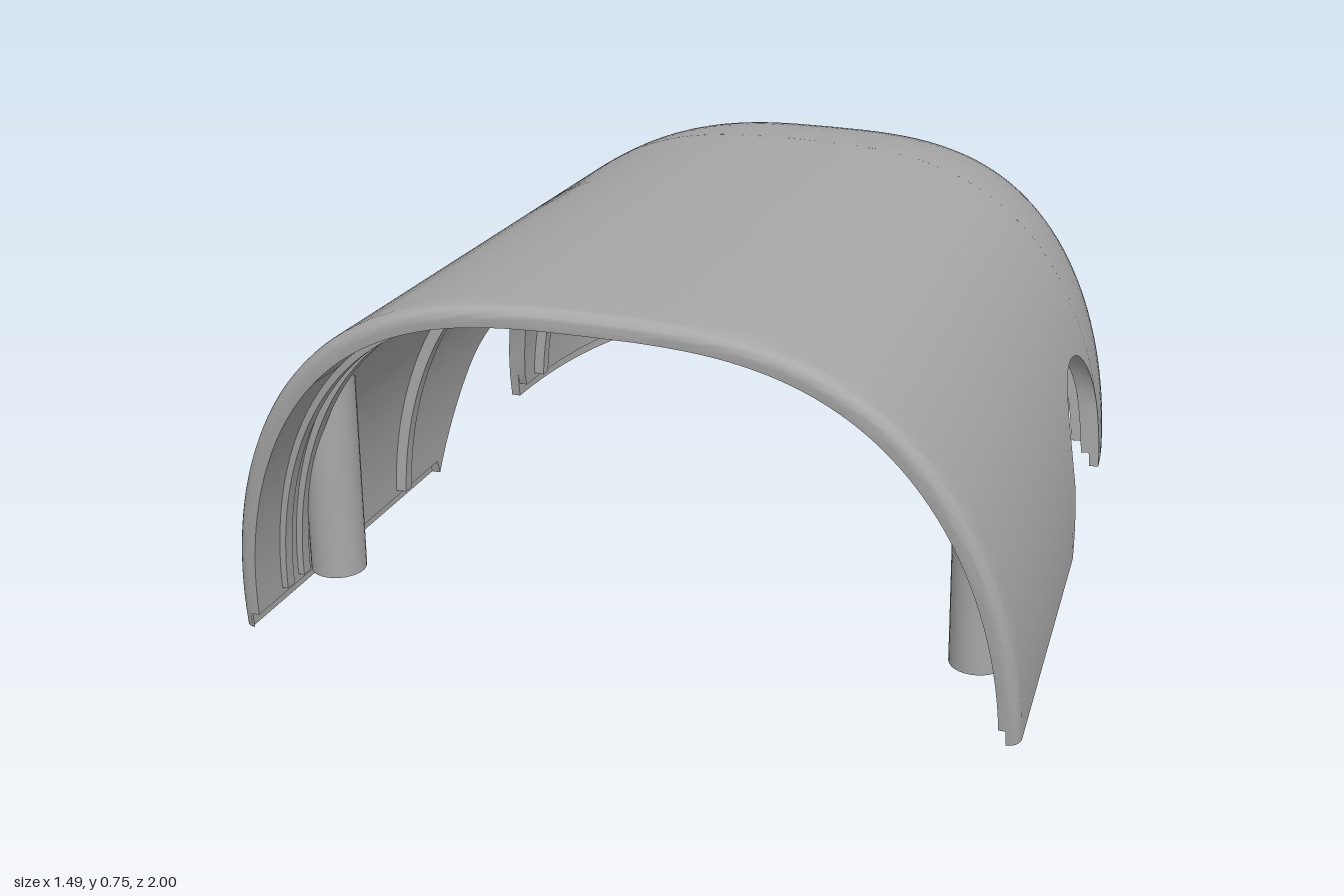
import * as THREE from 'three';
import { toCreasedNormals } from 'three/addons/utils/BufferGeometryUtils.js';

const WALL = 0.038;
const grey = new THREE.MeshStandardMaterial({ color: 0xa8a8a8 });
grey.name = 'plain grey';

// Half width and height of the hood at depth z, for a surface inset from the outside
const tail = (z, inset) => {
  const u = Math.min(1, Math.max(0, (-0.2 - z) / (0.8 - inset)));
  return Math.max(0, 1 - u ** 2.5);
};
const halfWidth = (z, inset) => Math.max(0, 0.69 * tail(z, inset) ** 0.42 * (1 + 0.0913 * z) - inset * tail(z, inset) ** 0.42);
const height = (z, inset) => (0.69 + 0.066 * z - inset) * tail(z, inset) ** 0.48;

// Point on the hood surface: station s runs back to front, angle a runs from left base over the top
function hoodPoint(s, a, inset) {
  const base = s > -0.2 ? s : -0.2 + (s + 0.2) * (0.8 - inset) / 0.8;
  const lean = 0.135 * THREE.MathUtils.smoothstep(s, 0.2, 0.9);
  let z = base;
  for (let i = 0; i < 4; i++) z = base + lean * height(z, inset) * Math.sin(a);
  const c = Math.cos(a);
  const x = Math.sign(c) * halfWidth(z, inset) * Math.abs(c) ** (2 / 3);
  return new THREE.Vector3(x, height(z, inset) * Math.sin(a), z);
}

// Lower edge of the wall, raised over the two side arches
function edgeY(s, side) {
  const arc = (cy, r) => cy + Math.sqrt(Math.max(0, r * r - (s + 0.08) ** 2));
  if (side > 0) {
    if (s < -0.27 || s > 0.17) return 0;
    return s <= 0.11 ? arc(0.125, 0.19) : 0.125 * (0.17 - s) / 0.06;
  }
  if (s < -0.26 || s > 0.17) return 0;
  if (s < -0.23) return 0.169 * (s + 0.26) / 0.03;
  return s <= 0.055 ? arc(0.13, 0.155) : 0.206 * (0.17 - s) / 0.115;
}

// One half of a cross-section, with an optional step along the lower edge
function profile(s, inset, edgeInset, lift, step) {
  const N = 72;
  const z = s > -0.2 ? s : -0.2 + (s + 0.2) * (0.8 - inset) / 0.8;
  const angle = y => Math.asin(Math.min(1, y / Math.max(1e-4, height(z, inset))));
  const ends = [1, -1].map(side => {
    const low = Math.max(edgeY(s, side), lift);
    const rise = low === 0 ? Math.min(step, height(z, inset) * 0.5) : 0;
    return [angle(low), angle(low + rise)];
  });
  const [[l0, l1], [r0, r1]] = ends;
  const pts = [hoodPoint(s, l0, edgeInset), hoodPoint(s, l1, edgeInset)];
  for (let j = 0; j <= N; j++) {
    pts.push(hoodPoint(s, l1 + (Math.PI - r1 - l1) * j / N, inset));
  }
  pts.push(hoodPoint(s, Math.PI - r1, edgeInset), hoodPoint(s, Math.PI - r0, edgeInset));
  return pts;
}

// Solid band between an outer and an inner profile, lofted along the stations
function loft(stations, outerInset, innerInset, edgeInset, lift, step) {
  const pos = [];
  const tri = (a, b, c) => {
    const n = b.clone().sub(a).cross(c.clone().sub(a));
    if (n.length() > 1e-10) pos.push(...a.toArray(), ...b.toArray(), ...c.toArray());
  };
  const quad = (a, b, c, d) => { tri(a, b, c); tri(a, c, d); };
  const rings = stations.map(s => {
    const out = outerInset(s);
    return [profile(s, out, out, lift, step), profile(s, innerInset, edgeInset, lift, step)];
  });
  const loops = rings.map(([o, n]) => [...o, ...n.slice().reverse()]);
  for (let i = 0; i < loops.length - 1; i++) {
    const p = loops[i], q = loops[i + 1], M = p.length;
    for (let j = 0; j < M; j++) {
      const k = (j + 1) % M;
      quad(p[j], p[k], q[k], q[j]);
    }
  }
  // Close both ends
  const [fo, fi] = rings[rings.length - 1], [bo, bi] = rings[0];
  for (let j = 0; j < fo.length - 1; j++) {
    quad(fo[j], fo[j + 1], fi[j + 1], fi[j]);
    quad(bo[j + 1], bo[j], bi[j], bi[j + 1]);
  }
  const g = new THREE.BufferGeometry();
  g.setAttribute('position', new THREE.Float32BufferAttribute(pos, 3));
  return toCreasedNormals(g, 0.6);
}

// Hollow screw boss whose top is trimmed to stay inside the wall
function boss(x, z, r, y0, y1) {
  const hole = r * 0.4;
  const g = new THREE.LatheGeometry([
    [0, y0 + 0.06], [hole, y0 + 0.06], [hole, y0], [r, y0], [r, y1], [0, y1],
  ].map(p => new THREE.Vector2(...p)), 28);
  g.translate(x, 0, z);
  const p = g.attributes.position;
  for (let i = 0; i < p.count; i++) {
    const px = Math.abs(p.getX(i)), pz = p.getZ(i);
    const ratio = Math.min(1, px / halfWidth(pz, 0.02));
    p.setY(i, Math.min(p.getY(i), height(pz, 0.02) * Math.sqrt(1 - ratio ** 3)));
  }
  return toCreasedNormals(g.toNonIndexed(), 0.6);
}

export function createModel() {
  const group = new THREE.Group();
  const add = (name, geometry) => {
    const mesh = new THREE.Mesh(geometry, grey);
    mesh.name = name;
    group.add(mesh);
    return mesh;
  };

  // Hood wall: dense stations at the tail, around the arches and on the rounded front lip
  const stations = [];
  for (let i = 0; i < 30; i++) stations.push(-0.28 - 0.72 * Math.cos(i / 30 * Math.PI / 2));
  stations.push(-0.2702, -0.27, -0.268, -0.264);
  for (let i = 0; i <= 44; i++) stations.push(-0.26 + i * 0.01);
  for (let s = 0.23; s < 0.86; s += 0.05) stations.push(s);
  for (let i = 0; i <= 6; i++) stations.push(0.872 + 0.028 * Math.sin(i / 6 * Math.PI / 2));
  const lip = s => {
    const t = Math.min(1, Math.max(0, (s - 0.872) / 0.028));
    return 0.025 * (1 - Math.sqrt(1 - t * t));
  };
  add('hood', loft(stations, lip, WALL, 0.02, 0, 0.03));

  // Stiffening hoops on the inside
  const hoops = [[0.8, 0.05], [0.74, 0.05], [0.35, 0.06], [-0.31, 0.062]];
  for (const [s, depth] of hoops) {
    add('innerHoop', loft([s - 0.012, s + 0.012], () => 0.03, depth, depth, 0.045, 0));
  }

  // Tall front posts and short rear bosses
  for (const side of [1, -1]) add('frontPost', boss(side * 0.63, 0.72, 0.053, 0.055, 0.6));
  add('leftRearBoss', boss(0.52, -0.43, 0.053, 0.035, 0.19));
  add('rightRearBoss', boss(-0.32, -0.77, 0.053, 0.035, 0.165));

  // Webs tying the rear bosses to the wall
  add('leftBossWeb', new THREE.BoxGeometry(0.07, 0.08, 0.03)).position.set(0.585, 0.1, -0.43);
  add('rightBossWeb', new THREE.BoxGeometry(0.03, 0.08, 0.1)).position.set(-0.32, 0.1, -0.85);

  return group;
}
